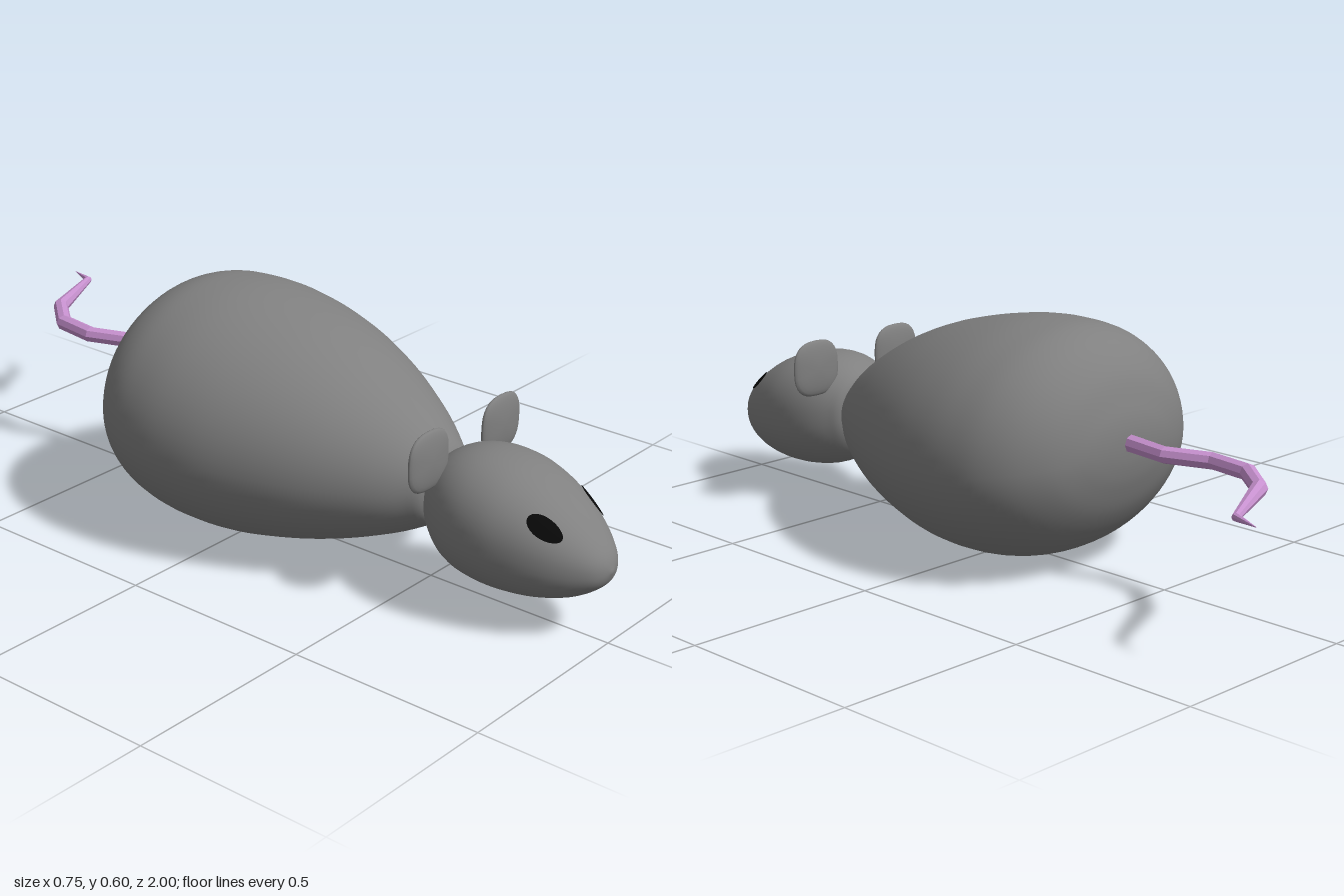
import * as THREE from 'three';
import { mergeVertices } from 'three/addons/utils/BufferGeometryUtils.js';

// Closed surface from a rule f(u, v), u along the part, v once around it
function grid(f, nu, nv, flat = false) {
  const pos = [], index = [];
  for (let i = 0; i <= nu; i++)
    for (let j = 0; j <= nv; j++) pos.push(...f(i / nu, j / nv).toArray());
  for (let i = 0; i < nu; i++)
    for (let j = 0; j < nv; j++) {
      const a = i * (nv + 1) + j, b = a + nv + 1;
      index.push(a, a + 1, b, a + 1, b + 1, b);
    }
  let g = new THREE.BufferGeometry();
  g.setAttribute('position', new THREE.Float32BufferAttribute(pos, 3));
  g.setIndex(index);
  g = flat ? g.toNonIndexed() : mergeVertices(g, 1e-5);
  g.computeVertexNormals();
  return g;
}

const spow = (x, p) => Math.sign(x) * Math.abs(x) ** p;

// Surface through cross-sections [z, top, middle, bottom, half width]
function loft(stations, roundness) {
  const heights = new THREE.CatmullRomCurve3(
    stations.map(([, t, m, b]) => new THREE.Vector3(t, m, b)), false, 'catmullrom', 0.5);
  const widths = new THREE.CatmullRomCurve3(
    stations.map(([z, , , , w]) => new THREE.Vector3(z, w, 0)), false, 'catmullrom', 0.5);
  return (u, angle) => {
    const h = heights.getPoint(u), s = widths.getPoint(u);
    const c = spow(Math.cos(angle), 2 / roundness), n = spow(Math.sin(angle), 2 / roundness);
    return new THREE.Vector3(s.y * c, h.y + n * (n > 0 ? h.x - h.y : h.y - h.z), s.x);
  };
}

const BODY = [
  [-0.392, 0.33, 0.33, 0.33, 0],
  [-0.388, 0.38, 0.328, 0.28, 0.08],
  [-0.375, 0.43, 0.32, 0.225, 0.155],
  [-0.345, 0.5, 0.31, 0.155, 0.235],
  [-0.29, 0.56, 0.3, 0.085, 0.305],
  [-0.22, 0.592, 0.29, 0.04, 0.35],
  [-0.14, 0.6, 0.283, 0.013, 0.37],
  [-0.05, 0.596, 0.28, 0.001, 0.373],
  [0.06, 0.577, 0.275, 0.003, 0.357],
  [0.18, 0.545, 0.27, 0.023, 0.317],
  [0.3, 0.496, 0.262, 0.055, 0.262],
  [0.42, 0.428, 0.255, 0.1, 0.19],
  [0.5, 0.37, 0.25, 0.14, 0.128],
  [0.54, 0.325, 0.25, 0.172, 0.088],
  [0.555, 0.25, 0.25, 0.25, 0],
];

const HEAD = [
  [0.53, 0.25, 0.25, 0.25, 0],
  [0.54, 0.325, 0.245, 0.172, 0.088],
  [0.57, 0.357, 0.237, 0.12, 0.122],
  [0.62, 0.378, 0.23, 0.09, 0.152],
  [0.68, 0.384, 0.225, 0.076, 0.168],
  [0.75, 0.374, 0.22, 0.071, 0.168],
  [0.82, 0.348, 0.21, 0.075, 0.152],
  [0.88, 0.313, 0.2, 0.087, 0.128],
  [0.93, 0.275, 0.19, 0.105, 0.098],
  [0.97, 0.237, 0.183, 0.13, 0.064],
  [0.99, 0.21, 0.18, 0.152, 0.035],
  [1.0, 0.18, 0.18, 0.18, 0],
];

// Tail bends [x, z, radius]
const TAIL = [
  [0, -0.34, 0.022], [0.002, -0.39, 0.022], [0.02, -0.51, 0.021], [-0.02, -0.62, 0.021],
  [-0.005, -0.735, 0.021], [0.075, -0.83, 0.02], [0.273, -0.925, 0.01], [0.298, -1, 0.0005],
];

export function createModel() {
  const fur = new THREE.MeshStandardMaterial({ name: 'greyFur', color: 0x808080 });
  const pink = new THREE.MeshStandardMaterial({ name: 'pinkSkin', color: 0xc791cf });
  const black = new THREE.MeshStandardMaterial({ name: 'blackEye', color: 0x080808 });
  const model = new THREE.Group();
  model.name = 'mouse';
  const add = (name, geometry, material) => {
    const mesh = new THREE.Mesh(geometry, material);
    mesh.name = name;
    model.add(mesh);
    return mesh;
  };

  // Egg-shaped body and pointed head
  const bodySurface = loft(BODY, 2), headSurface = loft(HEAD, 2.2);
  add('body', grid((u, v) => bodySurface(u, v * 2 * Math.PI), 70, 64), fur);
  add('head', grid((u, v) => headSurface(u, v * 2 * Math.PI), 55, 48), fur);

  // Thin rounded-square ears, and eyes lying on the head
  const earGeometry = grid((u, v) => {
    const lat = (u - 0.5) * Math.PI, a = v * 2 * Math.PI, r = 0.074 * Math.cos(lat);
    return new THREE.Vector3(
      r * spow(Math.cos(a), 2 / 2.7), r * spow(Math.sin(a), 2 / 2.7), 0.015 * Math.sin(lat));
  }, 14, 32);
  const centre = new THREE.Vector3(0, 0.21, 0.75);
  for (const [side, label] of [[1, 'left'], [-1, 'right']]) {
    add(label + 'Ear', earGeometry, fur).position.set(side * 0.14, 0.377, 0.585);

    const angle = Math.PI / 2 - side * 0.8;
    add(label + 'Eye', grid((r, v) => {
      const a = v * 2 * Math.PI;
      return headSurface(6.95 / 11 + 0.062 * r * Math.cos(a), angle + 0.22 * r * Math.sin(a))
        .sub(centre).multiplyScalar(1.015).add(centre);
    }, 6, 28), black);
  }

  // Kinked, tapering tail
  const last = TAIL.length - 1;
  add('tail', grid((u, v) => {
    const i = Math.round(u * last), a = v * 2 * Math.PI;
    const [x, z, r] = TAIL[i];
    const p = TAIL[Math.max(i - 1, 0)], n = TAIL[Math.min(i + 1, last)];
    const d = new THREE.Vector2(n[0] - p[0], n[1] - p[1]).normalize();
    const across = r * Math.cos(a);
    return new THREE.Vector3(x + d.y * across, 0.338 + r * Math.sin(a), z - d.x * across);
  }, last, 8, true), pink);

  return model;
}
